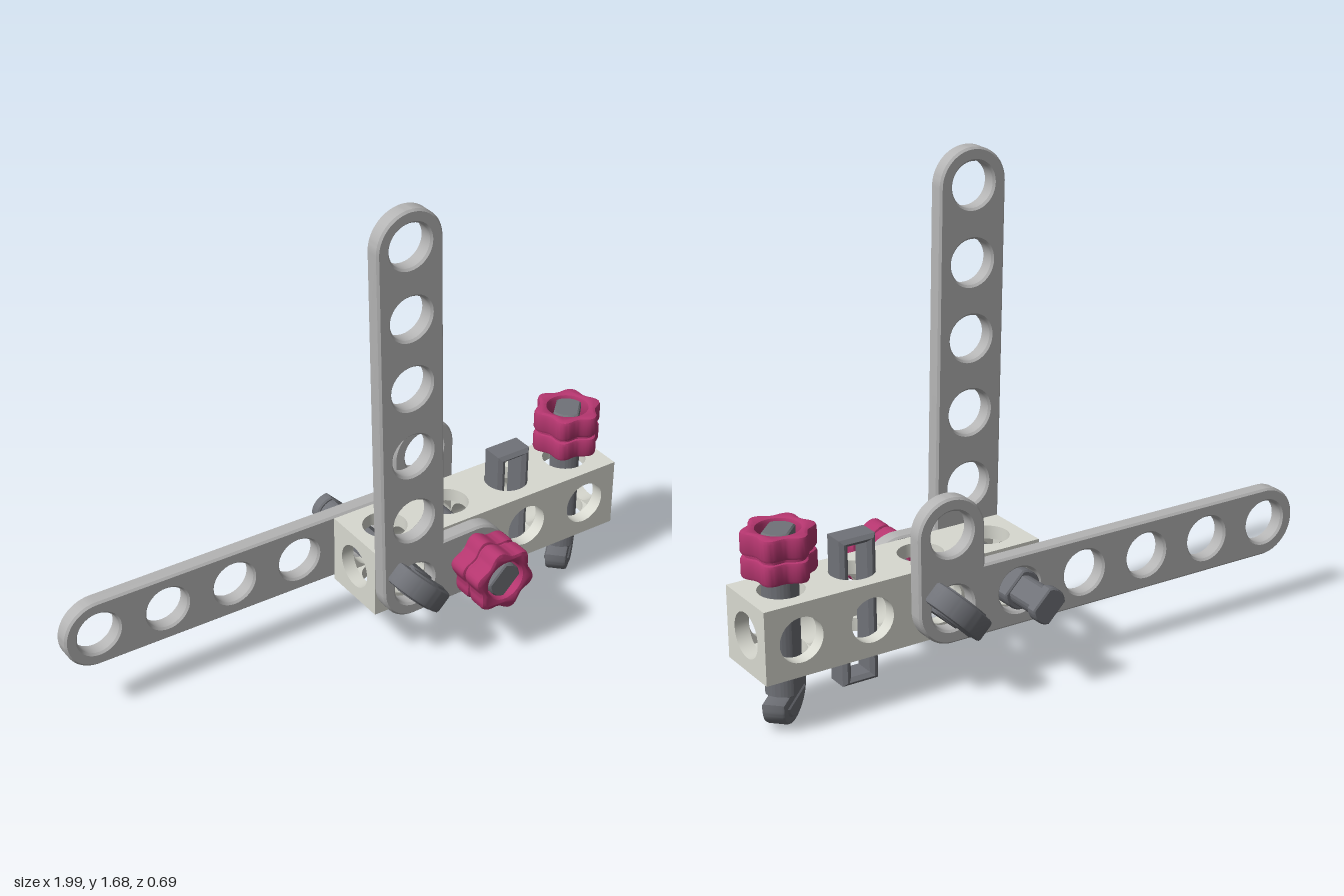
import * as THREE from 'three';
import { toCreasedNormals } from 'three/addons/utils/BufferGeometryUtils.js';

const PITCH = 0.2485, HOLE = 0.075, AXIS_Y = 0.315, HALF = 0.122;
const mat = (color) => new THREE.MeshStandardMaterial({ color });
const plateMat = mat(0xb4b4b4), beamMat = mat(0xd8d9d0), boltMat = mat(0x707278), knobMat = mat(0xb5366f);
const node = (i) => 0.12 + PITCH * i;

function mesh(name, geometry, material, parent) {
  const m = new THREE.Mesh(geometry, material);
  m.name = name;
  parent.add(m);
  return m;
}

// Extrusion centred on its thickness, with optional chamfer kept inside the outline
function slab(shape, depth, bevel = 0, segments = 1) {
  const g = new THREE.ExtrudeGeometry(shape, {
    depth: depth - 2 * bevel, curveSegments: 20, bevelEnabled: bevel > 0,
    bevelSize: bevel, bevelThickness: bevel, bevelOffset: -bevel, bevelSegments: segments,
  });
  g.translate(0, 0, bevel - depth / 2);
  return toCreasedNormals(g, 0.6);
}

function addHole(shape, x, y, r = HOLE) {
  shape.holes.push(new THREE.Path().absarc(x, y, r, 0, Math.PI * 2, true));
}

function rect(x0, y0, x1, y1, Type = THREE.Shape) {
  const s = new Type();
  s.moveTo(x0, y0).lineTo(x1, y0).lineTo(x1, y1).lineTo(x0, y1).closePath();
  return s;
}

// L-shaped strip: long arm of six holes upward, short arm of two holes to +x
function anglePlate(name) {
  const r = 0.12, s = new THREE.Shape();
  s.moveTo(0, -r).lineTo(PITCH, -r);
  s.absarc(PITCH, 0, r, -Math.PI / 2, Math.PI / 2, false);
  s.lineTo(r, r).lineTo(r, 5 * PITCH);
  s.absarc(0, 5 * PITCH, r, 0, Math.PI, false);
  s.lineTo(-r, 0);
  s.absarc(0, 0, r, Math.PI, Math.PI * 1.5, false);
  for (let i = 0; i < 6; i++) addHole(s, 0, i * PITCH);
  addHole(s, PITCH, 0);
  const m = new THREE.Mesh(slab(s, 0.058, 0.007), plateMat);
  m.name = name;
  return m;
}

// Square beam drilled along all three axes
function beam() {
  const g = new THREE.Group(), L = 0.99, wall = 0.046;
  g.name = 'beam';
  const side = rect(0, -HALF, L, HALF);
  for (let i = 0; i < 4; i++) addHole(side, node(i), 0);
  const sideGeo = slab(side, wall);
  for (let i = 0; i < 4; i++) {
    const pivot = new THREE.Group();
    pivot.rotation.x = i * Math.PI / 2;
    g.add(pivot);
    mesh('beamWall', sideGeo, beamMat, pivot).position.z = HALF - wall / 2;
  }
  // end caps and the solid webs between the cross holes
  const spans = [[0, 0.045], [L - 0.049, L]];
  for (let i = 0; i < 3; i++) spans.push([node(i) + HOLE, node(i + 1) - HOLE]);
  spans.forEach(([a, b], i) => {
    const h = i < 2 ? HALF : HALF - 0.01;
    const web = rect(-h, -h, h, h);
    addHole(web, 0, 0);
    const m = mesh(i < 2 ? 'beamEnd' : 'beamWeb', slab(web, b - a), beamMat, g);
    m.rotation.y = Math.PI / 2;
    m.position.x = (a + b) / 2;
  });
  return g;
}

// Round bar section cut by two flats, standing on y = 0
function flattedBar(r, flat, length) {
  const a = Math.asin(flat / r), s = new THREE.Shape();
  s.absarc(0, 0, r, -a, a, false);
  s.absarc(0, 0, r, Math.PI - a, Math.PI + a, false);
  s.closePath();
  const g = slab(s, length, 0.005);
  g.rotateX(-Math.PI / 2);
  g.translate(0, length / 2, 0);
  return g;
}

// Lobed hand nut in two tiers around a waist
function knob() {
  const g = new THREE.Group();
  g.name = 'knob';
  const lobed = (scale) => {
    const pts = [];
    for (let i = 0; i < 72; i++) {
      const t = i / 72 * Math.PI * 2, r = scale * (0.108 + 0.011 * Math.cos(6 * t));
      pts.push(new THREE.Vector2(r * Math.cos(t), r * Math.sin(t)));
    }
    const s = new THREE.Shape(pts);
    addHole(s, 0, 0, 0.068);
    return s;
  };
  for (const [name, y, h, scale, bevel] of [
    ['knobLowerTier', 0.036, 0.072, 1, 0.012],
    ['knobWaist', 0.076, 0.03, 0.9, 0],
    ['knobUpperTier', 0.116, 0.076, 1, 0.012]]) {
    const m = mesh(name, slab(lobed(scale), h, bevel, 2), knobMat, g);
    m.rotation.x = -Math.PI / 2;
    m.position.y = y;
  }
  return g;
}

// Thumb bolt along +y: half-round wing head below y = 0, necked tip on top
function thumbBolt(name, withKnob) {
  const g = new THREE.Group();
  g.name = name;
  const wing = new THREE.Shape();
  wing.moveTo(-0.12, 0).lineTo(-0.12, -0.02);
  wing.absellipse(0, -0.02, 0.12, 0.084, Math.PI, Math.PI * 2, false);
  wing.lineTo(0.12, 0).closePath();
  mesh('wingHead', slab(wing, 0.075, 0.01, 2), boltMat, g);
  // raised rims on both faces of the wing
  const rim = new THREE.Shape();
  rim.moveTo(-0.09, -0.026);
  rim.absellipse(0, -0.026, 0.09, 0.055, Math.PI, Math.PI * 2, false);
  rim.closePath();
  mesh('wingGrip', slab(rim, 0.086, 0.006), boltMat, g);
  mesh('shank', flattedBar(0.066, 0.046, 0.392), boltMat, g).position.y = -0.005;
  mesh('neck', flattedBar(0.05, 0.038, 0.13), boltMat, g).position.y = 0.38;
  mesh('tip', flattedBar(0.06, 0.042, 0.04), boltMat, g).position.y = 0.495;
  if (withKnob) {
    const k = knob();
    k.position.y = 0.387;
    g.add(k);
  }
  return g;
}

// Headless pin with a long slot through its flats
function slottedPin() {
  const s = rect(-0.064, -0.247, 0.064, 0.247);
  s.holes.push(rect(-0.034, -0.222, 0.034, 0.222, THREE.Path));
  const m = new THREE.Mesh(slab(s, 0.095, 0.012), boltMat);
  m.name = 'slottedPin';
  return m;
}

export function createModel() {
  const model = new THREE.Group();
  model.name = 'constructionAssembly';
  const place = (o, x, y, z, rx = 0, ry = 0, rz = 0) => {
    o.position.set(x, y, z);
    o.rotation.set(rx, ry, rz);
    model.add(o);
  };
  const q = Math.PI / 4;

  place(beam(), 0, AXIS_Y, 0);
  place(anglePlate('frontAnglePlate'), 0.112, AXIS_Y, 0.159, -0.004, 0, 0.027);
  place(anglePlate('backAnglePlate'), 0.367, AXIS_Y, -0.159, 0, -0.008, Math.PI / 2);

  place(thumbBolt('frontThumbBolt', false), 0.112, AXIS_Y, 0.188, -Math.PI / 2, q);
  place(thumbBolt('backThumbBolt', true), 0.367, AXIS_Y, -0.198, Math.PI / 2, q);
  place(thumbBolt('uprightThumbBolt', true), 0.868, 0.104, 0, 0, q);
  place(slottedPin(), 0.617, AXIS_Y, 0);
  return model;
}
